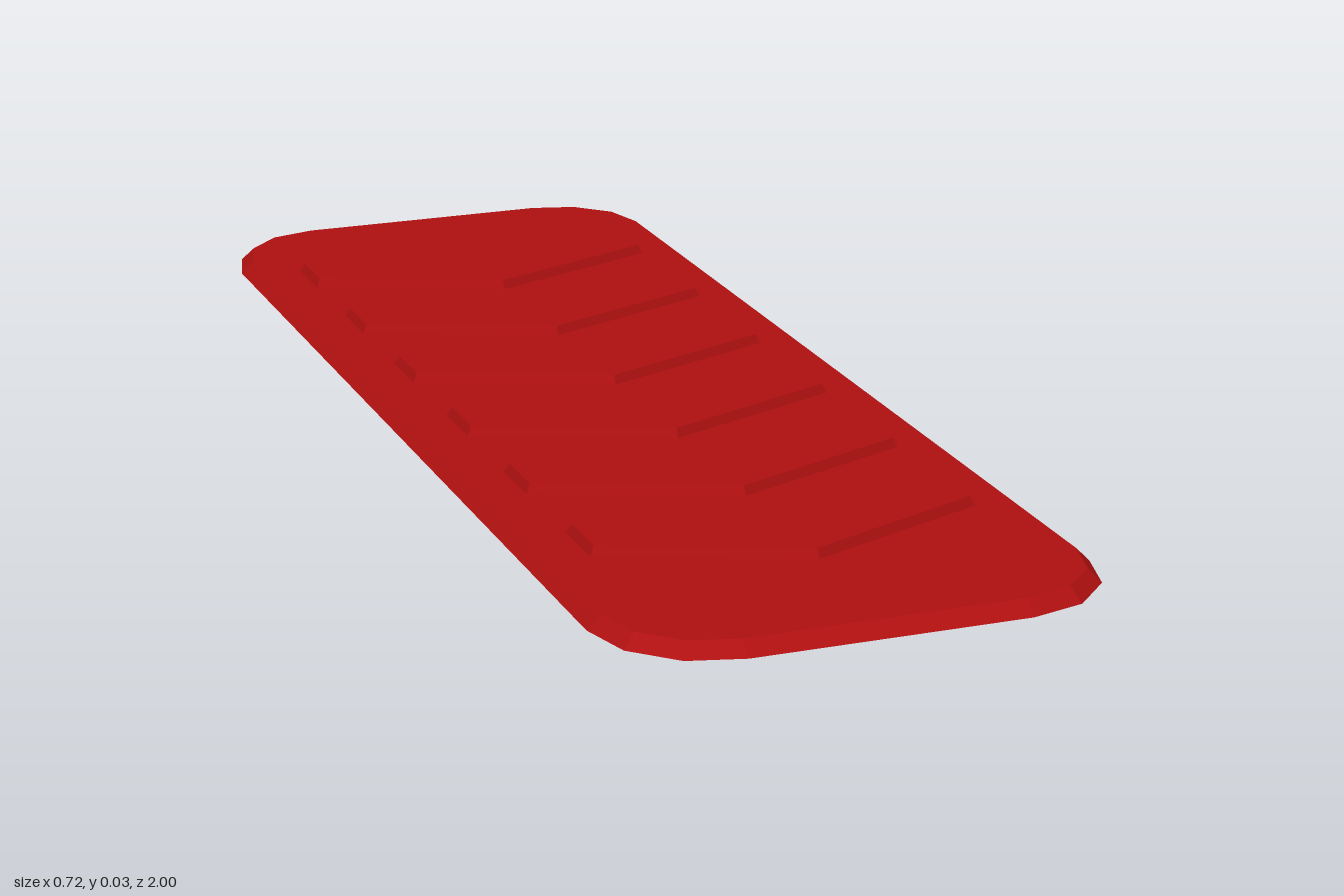
import * as THREE from 'three';

// Plan loops are Vector2(x, -z), counter-clockwise seen from above.

// Horizontal sheet bounded by a loop, with optional holes
function sheet(loop, y, holes = []) {
  const shape = new THREE.Shape(loop);
  shape.holes = holes.map((h) => new THREE.Path(h));
  return new THREE.ShapeGeometry(shape).rotateX(-Math.PI / 2).translate(0, y, 0);
}

// Sloping wall between a lower and an upper loop
function wall(lower, y0, upper, y1) {
  const pos = [];
  const put = (p, y) => pos.push(p.x, y, -p.y);
  lower.forEach((a, i) => {
    const j = (i + 1) % lower.length;
    put(a, y0); put(lower[j], y0); put(upper[j], y1);
    put(a, y0); put(upper[j], y1); put(upper[i], y1);
  });
  const geo = new THREE.BufferGeometry();
  geo.setAttribute('position', new THREE.Float32BufferAttribute(pos, 3));
  geo.computeVertexNormals();
  return geo;
}

// Rounded rectangle with three facets per corner
function padOutline(radius) {
  const pts = [];
  const centres = [[0.2, 0.84], [-0.2, 0.84], [-0.2, -0.84], [0.2, -0.84]];
  centres.forEach(([cx, cy], q) => {
    for (let i = 0; i <= 3; i++) {
      const a = (q + i / 3) * Math.PI / 2;
      pts.push(new THREE.Vector2(cx + radius * Math.cos(a), cy + radius * Math.sin(a)));
    }
  });
  return pts;
}

// Chevron with its apex towards +z; inset shrinks it evenly
function chevron(z, inset) {
  const w = 0.283 - inset;
  const slope = 0.403;
  const back = (x) => 0.007 - slope * x + inset;
  const front = (x) => 0.107 - slope * x - inset;
  return [[0, front(0)], [w, front(w)], [w, back(w)], [0, back(0)], [-w, back(w)], [-w, front(w)]]
    .map(([x, dz]) => new THREE.Vector2(x, -(z + dz)));
}

export function createModel() {
  const group = new THREE.Group();
  group.name = 'treadPad';
  const red = new THREE.MeshStandardMaterial({ color: 0xb01010, side: THREE.DoubleSide, flatShading: true });
  red.name = 'red';
  const add = (name, geo, parent = group) => {
    const mesh = new THREE.Mesh(geo, red);
    mesh.name = name;
    parent.add(mesh);
  };

  const plateY = 0.02;
  const ridgeY = 0.034;
  const centres = [-0.65, -0.39, -0.13, 0.13, 0.39, 0.65];

  // Open-bottomed plate: bevelled rim and pierced top
  const top = padOutline(0.14);
  add('rim', wall(padOutline(0.16), 0, top, plateY));
  add('plate', sheet(top, plateY, centres.map((z) => chevron(z, 0))));

  // Hollow raised chevrons over the openings
  centres.forEach((z, i) => {
    const ridge = new THREE.Group();
    ridge.name = `chevron${i + 1}`;
    const crest = chevron(z, 0.006);
    add('chevronWall', wall(chevron(z, 0), plateY, crest, ridgeY), ridge);
    add('chevronTop', sheet(crest, ridgeY), ridge);
    group.add(ridge);
  });
  return group;
}
